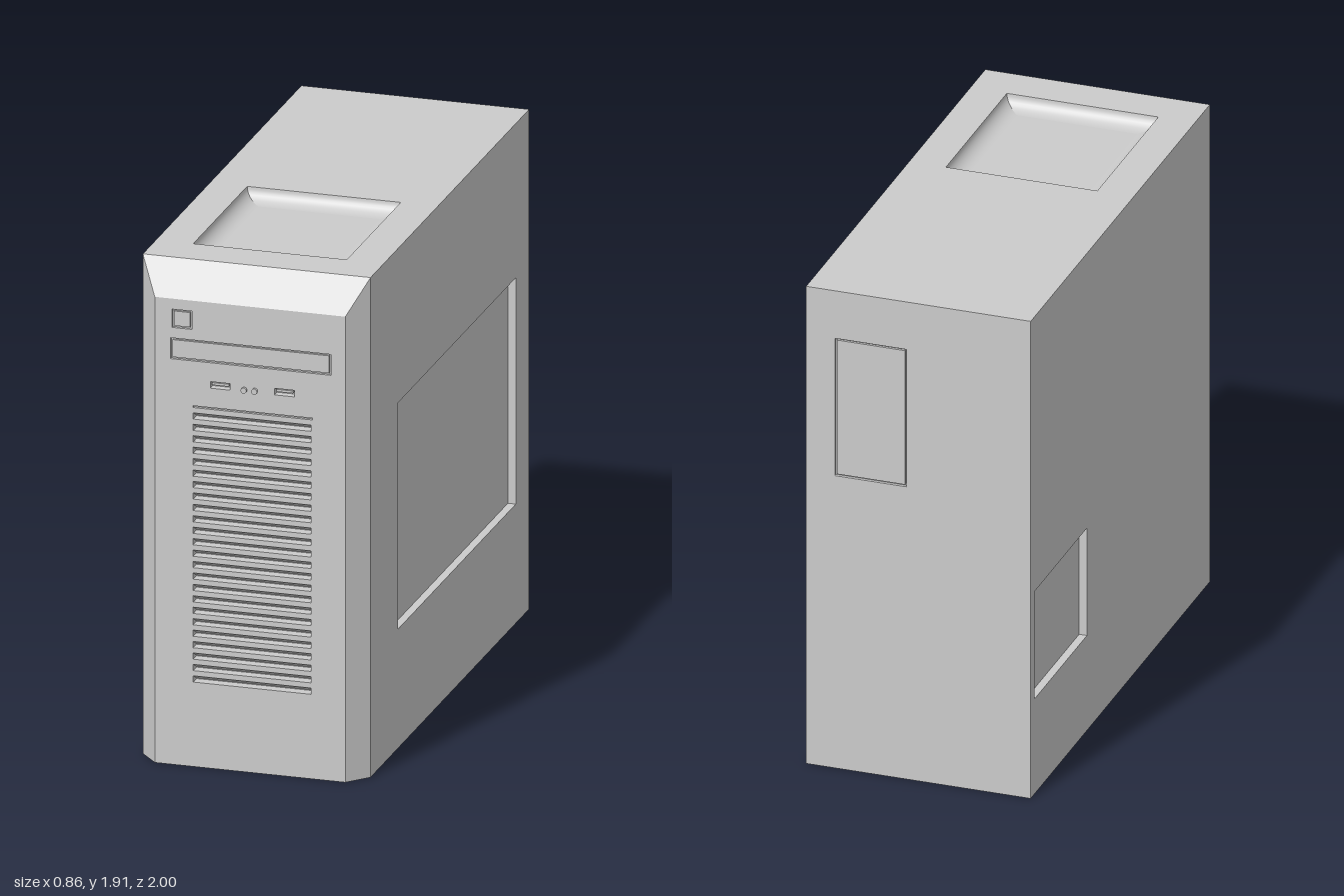
import * as THREE from 'three';

const W = 0.43, H = 1.91, BACK = -1, EDGE = 0.91; // case body
const FW = 0.36, FH = 1.78, FRONT = 0.99;         // flat front face inside the chamfers

const grey = new THREE.MeshStandardMaterial({ color: 0xcccccc });

function mesh(name, geometry) {
  const m = new THREE.Mesh(geometry, grey);
  m.name = name;
  return m;
}

// Rectangles are [x0, x1, y0, y1]; corners run counter-clockwise.
const corners = ([x0, x1, y0, y1]) => [[x0, y0], [x1, y0], [x1, y1], [x0, y1]];

function surface(points, index) {
  const g = new THREE.BufferGeometry();
  g.setAttribute('position', new THREE.Float32BufferAttribute(points.flat(), 3));
  g.setIndex(index);
  g.computeVertexNormals();
  return g;
}

// Sunken pocket: each ring is { rect, z }, from the rim down to the floor.
function pocket(name, rings) {
  const points = [], index = [];
  for (let s = 0; s < 4; s++) {
    const base = points.length;
    rings.forEach(({ rect, z }, r) => {
      const c = corners(rect);
      points.push([...c[s], z], [...c[(s + 1) % 4], z]);
      if (r === 0) return;
      const a = base + 2 * (r - 1);
      index.push(a, a + 1, a + 3, a, a + 3, a + 2);
    });
  }
  const last = rings[rings.length - 1], f = points.length;
  corners(last.rect).forEach(c => points.push([...c, last.z]));
  index.push(f, f + 1, f + 2, f, f + 2, f + 3);
  return mesh(name, surface(points, index));
}

const inset = ([a, b, c, d], t) => [a + t, b - t, c + t, d - t];
const boxPocket = (name, rect, depth) => pocket(name, [{ rect, z: 0 }, { rect, z: -depth }]);

// Block filling a rectangle, from z = back to z = front.
function block(name, [x0, x1, y0, y1], back, front) {
  const m = mesh(name, new THREE.BoxGeometry(x1 - x0, y1 - y0, front - back));
  m.position.set((x0 + x1) / 2, (y0 + y1) / 2, (front + back) / 2);
  return m;
}

// Flat wall facing local +z with rectangular openings.
function wall(name, rect, holes = []) {
  const shape = new THREE.Shape(corners(rect).map(c => new THREE.Vector2(...c)));
  for (const h of holes) {
    shape.holes.push(new THREE.Path(corners(h).reverse().map(c => new THREE.Vector2(...c))));
  }
  const g = new THREE.Group();
  g.name = name;
  g.add(mesh(name + 'Sheet', new THREE.ShapeGeometry(shape)));
  return g;
}

// Panel set flush inside a narrow groove.
function groovedPanel(parent, name, rect) {
  parent.add(boxPocket(name + 'Groove', rect, 0.012));
  parent.add(block(name, inset(rect, 0.007), -0.012, -0.002));
}

function frontWall() {
  const button = [-0.295, -0.22, 1.67, 1.74];
  const bay = [-0.3, 0.305, 1.55, 1.63];
  const ports = [[-0.15, -0.075, 1.453, 1.478], [0.092, 0.167, 1.453, 1.478]];
  const seam = [-0.215, 0.235, 1.372, 1.379];
  const slots = [];
  for (let i = 0; i < 24; i++) {
    const y = 1.34 - i * 0.0437;
    slots.push([-0.215, 0.23, y - 0.012, y + 0.012]);
  }
  const g = wall('frontPanel', [-FW, FW, 0, FH], [button, bay, seam, ...ports, ...slots]);
  groovedPanel(g, 'powerButton', button);
  groovedPanel(g, 'driveBayCover', bay);
  g.add(boxPocket('ventSeam', seam, 0.012));
  for (const p of ports) {
    g.add(boxPocket('dataPort', p, 0.03));
    g.add(block('portTongue', [p[0] + 0.006, p[1] - 0.006, p[2] + 0.012, p[3] - 0.004], -0.03, -0.003));
  }
  // Louvre slots: the upper face slopes inwards to a narrow ledge
  for (const s of slots) {
    const [x0, x1, y0] = s;
    g.add(pocket('ventSlot', [{ rect: s, z: 0 }, { rect: [x0, x1, y0, y0 + 0.002], z: -0.04 }]));
  }
  // Audio jacks standing slightly proud
  for (const x of [-0.022, 0.018]) {
    const jack = mesh('audioJack', new THREE.CylinderGeometry(0.011, 0.011, 0.01, 16));
    jack.rotation.x = Math.PI / 2;
    jack.position.set(x, 1.46, 0.005);
    g.add(jack);
  }
  g.position.z = FRONT;
  return g;
}

function sideWall(name, outline, recess, turn) {
  const g = wall(name, outline, [recess]);
  g.add(boxPocket(name + 'Recess', recess, 0.03));
  g.rotation.y = turn;
  g.position.x = Math.sign(turn) * W;
  return g;
}

function backWall() {
  const plate = [-0.32, -0.045, 1.17, 1.72];
  const g = wall('backPanel', [-W, W, 0, H], [plate]);
  groovedPanel(g, 'connectorPlate', plate);
  g.rotation.y = Math.PI;
  g.position.z = BACK;
  return g;
}

// Top with a tray whose sides curve into its floor
function topWall() {
  const tray = [-0.29, 0.29, -0.75, -0.1];
  const g = wall('topPanel', [-W, W, -EDGE, -BACK], [tray]);
  const rings = [];
  for (let i = 0; i <= 8; i++) {
    const a = (i / 8) * Math.PI / 2;
    rings.push({ rect: inset(tray, 0.06 * (1 - Math.cos(a))), z: -0.05 * Math.sin(a) });
  }
  g.add(pocket('topTray', rings));
  g.rotation.x = -Math.PI / 2;
  g.position.y = H;
  return g;
}

function bottomWall() {
  const outline = [[-W, 1], [-W, -EDGE], [-FW, -FRONT], [FW, -FRONT], [W, -EDGE], [W, 1]];
  const shape = new THREE.Shape(outline.map(([x, y]) => new THREE.Vector2(x, -y)));
  const m = mesh('bottomPanel', new THREE.ShapeGeometry(shape));
  m.rotation.x = Math.PI / 2;
  return m;
}

// Sloped faces framing the front panel
function chamfers() {
  const g = new THREE.Group();
  g.name = 'frontChamfers';
  const quad = [0, 1, 2, 0, 2, 3];
  for (const s of [1, -1]) {
    const p = [[s * FW, 0, FRONT], [s * W, 0, EDGE], [s * W, H, EDGE], [s * FW, FH, FRONT]];
    g.add(mesh('sideChamfer', surface(s > 0 ? p : p.reverse(), quad)));
  }
  g.add(mesh('topChamfer', surface(
    [[-FW, FH, FRONT], [FW, FH, FRONT], [W, H, EDGE], [-W, H, EDGE]], quad)));
  return g;
}

export function createModel() {
  const model = new THREE.Group();
  model.name = 'computerTower';
  model.add(
    frontWall(),
    backWall(),
    sideWall('leftPanel', [-EDGE, -BACK, 0, H], [-0.58, 0.84, 0.455, 1.32], Math.PI / 2),
    sideWall('rightPanel', [BACK, EDGE, 0, H], [-0.96, -0.4, 0.38, 0.81], -Math.PI / 2),
    topWall(),
    bottomWall(),
    chamfers()
  );
  return model;
}
